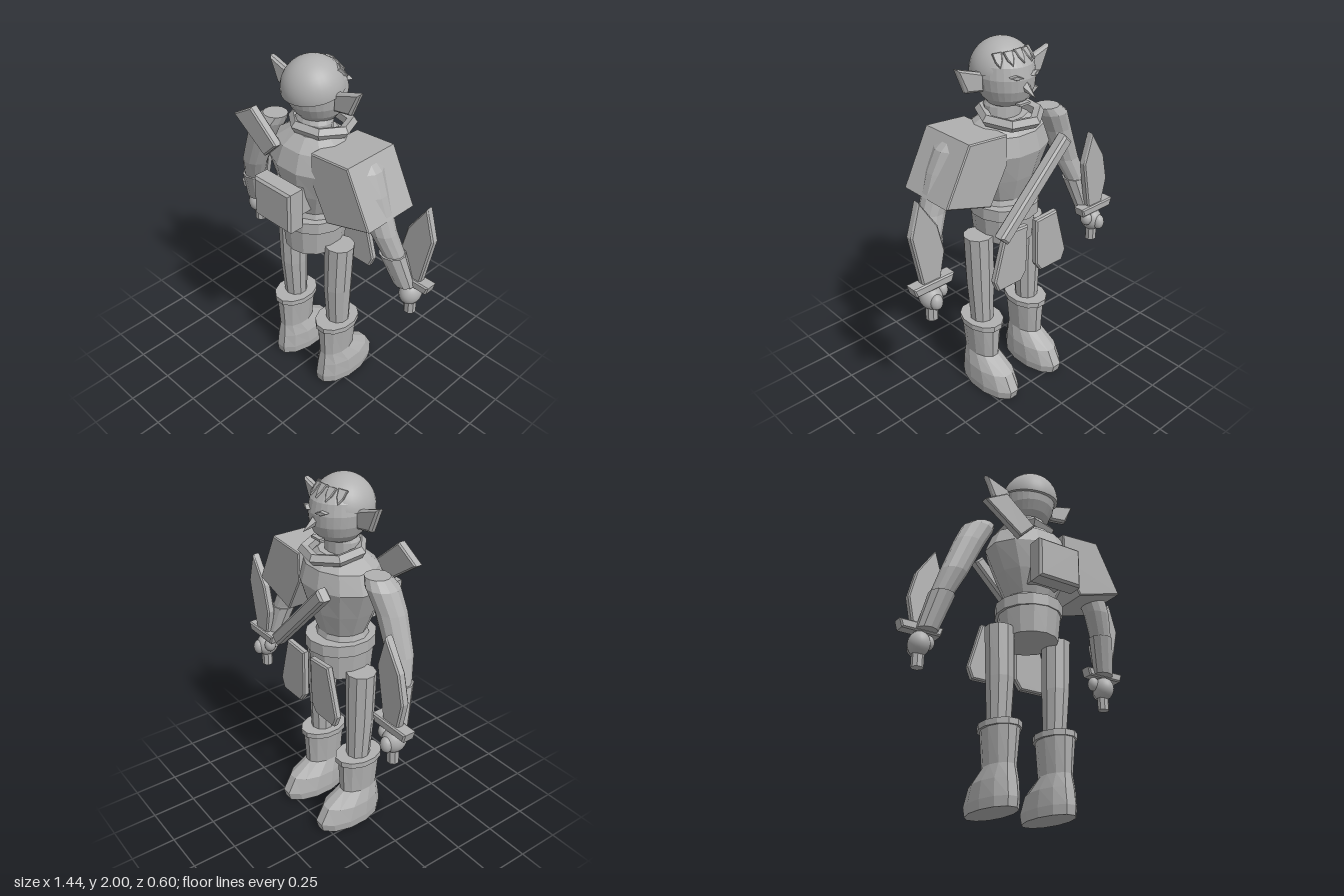
import * as THREE from 'three';

const grey = new THREE.MeshStandardMaterial({ color: 0xb0b0b0 });
grey.name = 'plain grey';

// Faceted solid from elliptical rings, listed bottom to top: [y, cx, cz, rx, rz]
function loft(rings, sides = 10) {
  const pos = [];
  const at = (r, i) => {
    const a = ((i + 0.5) / sides) * Math.PI * 2;
    return [r[1] + Math.cos(a) * r[3], r[0], r[2] + Math.sin(a) * r[4]];
  };
  const tri = (a, b, c) => pos.push(...a, ...b, ...c);
  const first = rings[0], last = rings[rings.length - 1];
  for (let i = 0; i < sides; i++) {
    for (let k = 0; k < rings.length - 1; k++) {
      const a = at(rings[k], i), b = at(rings[k + 1], i);
      const c = at(rings[k + 1], i + 1), d = at(rings[k], i + 1);
      tri(a, b, c);
      tri(a, c, d);
    }
    tri([first[1], first[0], first[2]], at(first, i), at(first, i + 1));
    tri([last[1], last[0], last[2]], at(last, i + 1), at(last, i));
  }
  const g = new THREE.BufferGeometry();
  g.setAttribute('position', new THREE.Float32BufferAttribute(pos, 3));
  g.computeVertexNormals();
  return g;
}

// Bevelled plate with an outline in x and y, spanning z0 to z1
function slab(points, z0, z1, bevel = 0.008) {
  const shape = new THREE.Shape(points.map(([x, y]) => new THREE.Vector2(x, y)));
  const g = new THREE.ExtrudeGeometry(shape, {
    depth: z1 - z0 - 2 * bevel, bevelEnabled: true, bevelSegments: 1,
    bevelSize: bevel, bevelThickness: bevel, bevelOffset: -bevel,
  });
  return g.translate(0, 0, z0 + bevel);
}

function ball(rx, ry, rz, w = 24, h = 16) {
  return new THREE.SphereGeometry(1, w, h).scale(rx, ry, rz);
}

export function createModel() {
  const model = new THREE.Group();
  const add = (name, geometry, x = 0, y = 0, z = 0, rx = 0, ry = 0, rz = 0) => {
    const mesh = new THREE.Mesh(geometry, grey);
    mesh.name = name;
    mesh.position.set(x, y, z);
    mesh.rotation.set(rx, ry, rz);
    model.add(mesh);
    return mesh;
  };

  // Head, hair cap and neck
  add('head', loft([
    [1.67, 0, -0.02, 0.07, 0.06], [1.685, 0, -0.025, 0.095, 0.095],
    [1.72, 0, -0.025, 0.125, 0.128], [1.77, 0, -0.02, 0.145, 0.153],
    [1.83, 0, -0.015, 0.153, 0.163], [1.89, 0, -0.012, 0.143, 0.152],
    [1.95, 0, -0.01, 0.1, 0.11], [1.985, 0, -0.01, 0.04, 0.045],
  ], 28));
  add('hairCap', new THREE.SphereGeometry(0.162, 28, 12, 0, Math.PI * 2, 0, Math.PI / 2),
    0, 1.838, 0.008, 0.2);
  add('hairCapUnderside', new THREE.CircleGeometry(0.162, 28).rotateX(Math.PI / 2),
    0, 1.838, 0.008, 0.2);
  add('neck', loft([[1.55, 0, 0, 0.105, 0.085], [1.67, 0, 0, 0.105, 0.085], [1.7, 0, -0.01, 0.09, 0.08]], 14));

  // Fringe of small leaf-shaped tufts on the forehead
  for (let i = -2; i <= 2; i++) {
    const a = i * 0.42;
    add('fringeTuft', slab([[-0.024, 0.035], [0.024, 0.035], [0.018, -0.01], [0, -0.045], [-0.018, -0.01]], -0.012, 0.012, 0.004),
      Math.sin(a) * 0.135, 1.935 - Math.abs(i) * 0.006, -Math.cos(a) * 0.122, 0.75, -a * 0.6, i * 0.12);
  }

  // Face
  const nose = new THREE.ConeGeometry(0.03, 0.1, 5).toNonIndexed();
  nose.computeVertexNormals();
  add('nose', nose, 0, 1.775, -0.195, -2.1);
  add('mouth', new THREE.BoxGeometry(0.07, 0.012, 0.03), 0, 1.7, -0.15);

  // Torso, belt and hips
  add('torso', loft([
    [1.1, 0, 0, 0.165, 0.15], [1.17, 0, 0, 0.14, 0.13], [1.3, 0, 0, 0.2, 0.175],
    [1.45, 0, -0.005, 0.265, 0.21], [1.55, 0, -0.01, 0.225, 0.18], [1.61, 0, -0.01, 0.13, 0.11],
  ], 12));
  add('belt', loft([[1.075, 0, -0.01, 0.185, 0.195], [1.14, 0, -0.01, 0.185, 0.195]], 14));
  add('hips', loft([[0.925, 0, -0.005, 0.155, 0.17], [1.08, 0, -0.005, 0.17, 0.185]], 14));

  // Scarf collar, lower at the face side
  const collar = new THREE.TorusGeometry(0.15, 0.032, 5, 7).rotateX(Math.PI / 2).toNonIndexed();
  collar.computeVertexNormals();
  add('collar', collar, 0, 1.625, -0.055, -0.1);

  // Backpack and the plate beside it
  add('backpack', slab([[-0.13, 1.17], [0.13, 1.17], [0.13, 1.4], [-0.13, 1.4]], 0.2, 0.305, 0.012));
  add('backpackMount', new THREE.BoxGeometry(0.18, 0.16, 0.1), 0, 1.29, 0.16);
  add('backPlate', slab([[-0.4, 1.61], [-0.265, 1.692], [-0.085, 1.54], [-0.175, 1.448]], 0.14, 0.19));

  // Large shoulder guard on one side
  add('shoulderGuard', slab([[0.13, 1.58], [0.37, 1.598], [0.52, 1.305], [0.24, 1.22], [0.13, 1.42]], -0.182, 0.155, 0.006));

  // Diagonal rod across the chest
  add('chestRod', slab([[-0.31, -0.035], [0.31, -0.035], [0.31, 0.035], [-0.31, 0.035]], -0.033, 0.033, 0.012),
    0.02, 1.28, -0.255, 0, 0, -Math.PI / 4);

  for (const s of [-1, 1]) {
    // Ear
    add('ear', slab([[0.14, 1.855], [0.305, 1.905], [0.25, 1.775], [0.14, 1.758]].map(([x, y]) => [x * s, y]),
      -0.025, 0.018, 0.012));

    // Narrow eye
    add('eye', slab([[-0.035, 0], [0, 0.011], [0.035, 0], [0, -0.011]], -0.012, 0.012, 0.002),
      s * 0.062, 1.848, -0.167, 0, s * -0.35, s * 0.12);

    // Arm and bracer
    add('arm', loft([
      [0.9, s * 0.575, -0.09, 0.05, 0.045], [1.1, s * 0.52, -0.035, 0.062, 0.06],
      [1.22, s * 0.475, -0.005, 0.075, 0.068], [1.42, s * 0.395, 0, 0.085, 0.08],
      [1.53, s * 0.34, -0.01, 0.09, 0.088], [1.575, s * 0.305, -0.015, 0.07, 0.065],
    ], 12));
    add('bracer', loft([[0.89, s * 0.572, -0.085, 0.06, 0.052], [1.09, s * 0.522, -0.035, 0.072, 0.068]], 10));

    // Hand with thumb and knuckles
    add('hand', ball(0.058, 0.068, 0.068), s * 0.595, 0.82, -0.12);
    add('thumb', ball(0.032, 0.042, 0.035, 12, 8), s * 0.535, 0.845, -0.135);
    add('fingers', ball(0.035, 0.045, 0.032, 12, 8), s * 0.6, 0.815, -0.175);

    // Dagger, both leaning the same way
    const x = s * 0.595;
    add('daggerHandle', loft([[0.69, x, -0.125, 0.034, 0.032], [0.9, x, -0.125, 0.034, 0.032]], 8));
    add('daggerGuard', slab([[-0.125, 0.93], [0.125, 0.93], [0.11, 0.88], [-0.11, 0.88]], -0.165, -0.09), x);
    add('daggerBlade', slab([[0.06, 1.385], [0.115, 1.21], [0.06, 0.92], [-0.05, 0.92], [-0.082, 1.07], [-0.045, 1.225]],
      -0.15, -0.105), x);

    // Hanging flap at the belt
    add('beltFlap', slab([[0.03, 1.06], [0.185, 1.07], [0.262, 0.8], [0.235, 0.735], [0.075, 0.735], [0.035, 0.79]]
      .map(([px, y]) => [px * s, y]), -0.235, -0.195));

    // Leg
    add('leg', loft([
      [0.4, s * 0.172, -0.02, 0.063, 0.065], [0.68, s * 0.175, -0.01, 0.077, 0.08],
      [0.97, s * 0.182, -0.01, 0.083, 0.082],
    ], 10));

    // Boot with a cuff
    add('boot', loft([
      [0, s * 0.17, -0.082, 0.1, 0.205], [0.05, s * 0.17, -0.085, 0.105, 0.215],
      [0.14, s * 0.17, -0.066, 0.1, 0.183], [0.215, s * 0.17, -0.015, 0.075, 0.118],
      [0.41, s * 0.17, -0.013, 0.093, 0.13],
    ], 12));
    add('bootCuff', loft([[0.405, s * 0.17, -0.015, 0.106, 0.142], [0.437, s * 0.17, -0.015, 0.106, 0.142]], 12));
  }
  return model;
}
